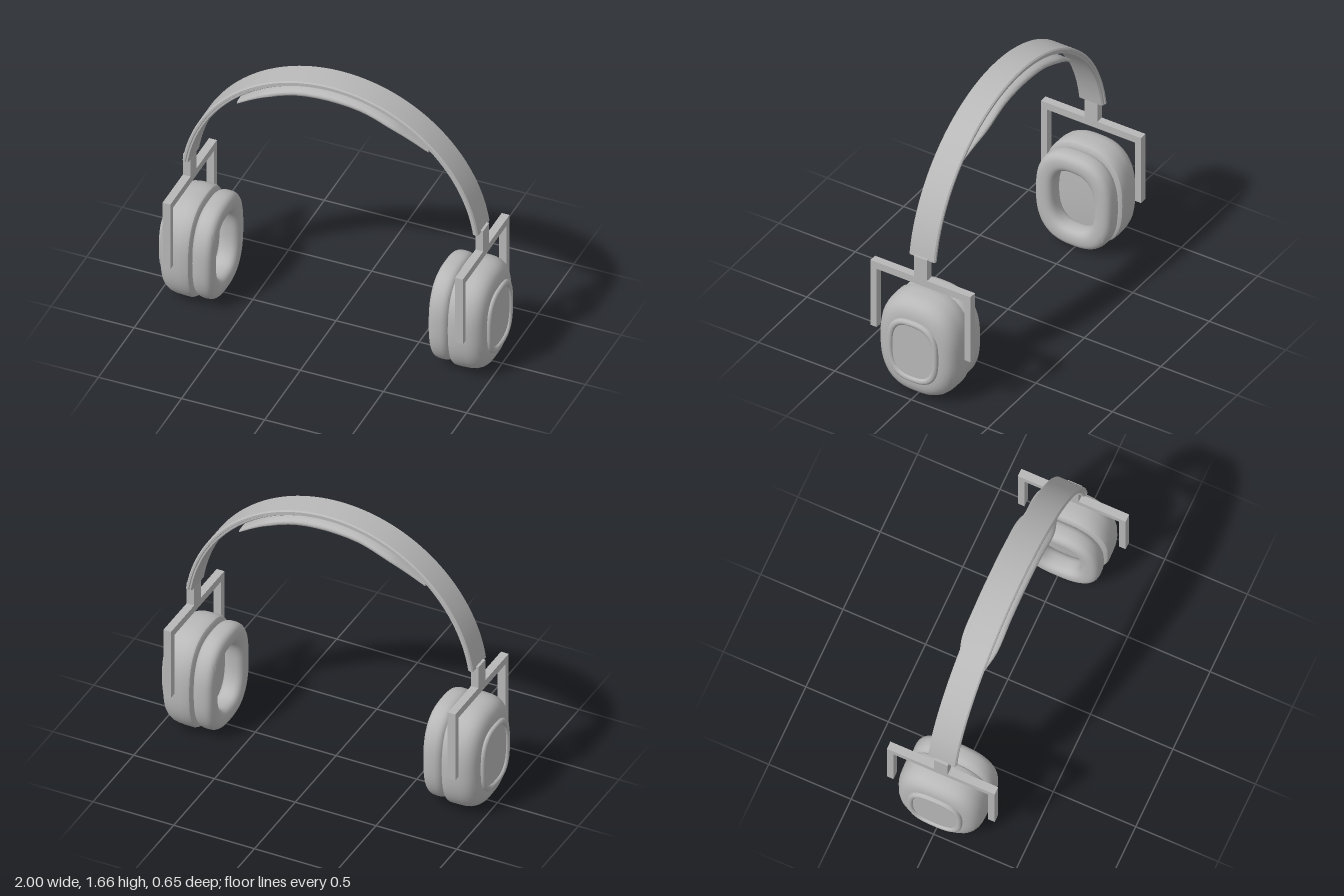
import * as THREE from 'three';
import { toCreasedNormals } from 'three/addons/utils/BufferGeometryUtils.js';

const grey = new THREE.MeshStandardMaterial({ color: 0xb8b8b8 });
grey.name = 'grey';

const CUP_Y = 0.32;

// Skin a list of equal-length closed rings of points
function skin(rings, crease = 0.6) {
  const n = rings[0].length;
  const index = [];
  for (let i = 0; i < rings.length - 1; i++) {
    for (let j = 0; j < n; j++) {
      const k = (j + 1) % n;
      const a = i * n + j, b = (i + 1) * n + j, c = i * n + k, d = (i + 1) * n + k;
      index.push(a, b, c, c, b, d);
    }
  }
  const geo = new THREE.BufferGeometry().setFromPoints(rings.flat());
  geo.setIndex(index);
  return toCreasedNormals(geo, crease);
}

// Close both ends of a list of rings at their centres
function capped(rings) {
  const cap = (ring) => {
    const c = new THREE.Vector3();
    ring.forEach((p) => c.add(p));
    c.divideScalar(ring.length);
    return ring.map(() => c.clone());
  };
  return [cap(rings[0]), ...rings, cap(rings[rings.length - 1])];
}

const power = (v, n) => Math.sign(v) * Math.pow(Math.abs(v), 2 / n);

// Rounded-oval ring facing x, with half sizes a (z) and b (y)
function ovalRing(x, a, b, n = 2.6, segments = 72) {
  return Array.from({ length: segments }, (_, j) => {
    const t = (j / segments) * Math.PI * 2;
    return new THREE.Vector3(x, CUP_Y + b * power(Math.sin(t), n), a * power(Math.cos(t), n));
  });
}

// Oval body from a profile of [x, inset]
function ovalBody(profile, a, b, n, solid = true) {
  const rings = profile.map(([x, inset]) => ovalRing(x, a - inset, b - inset, n));
  return skin(solid ? capped(rings) : rings);
}

function part(name, geometry) {
  const mesh = new THREE.Mesh(geometry, grey);
  mesh.name = name;
  return mesh;
}

function box(name, w, h, d, x, y, z) {
  const mesh = part(name, new THREE.BoxGeometry(w, h, d));
  mesh.position.set(x, y, z);
  return mesh;
}

function headband() {
  const section = [
    [0.893, -0.085], [0.9, -0.077], [0.9, 0.077], [0.893, 0.085], [0.882, 0.085], [0.879, 0.079],
    [0.869, 0.079], [0.863, 0.07], [0.863, -0.07], [0.869, -0.079], [0.879, -0.079], [0.882, -0.085],
  ];
  const rings = [];
  const start = 0.15, steps = 80;
  for (let i = 0; i <= steps; i++) {
    const t = start + (i / steps) * (Math.PI - 2 * start);
    rings.push(section.map(([r, z]) => new THREE.Vector3(r * Math.cos(t), 0.765 + r * Math.sin(t), z)));
  }
  return part('headband', skin(capped(rings), 0.4));
}

function headPad() {
  // x, middle height, half thickness, half width
  const half = [
    [0.575, 1.364, 0.012, 0.05], [0.47, 1.447, 0.021, 0.083], [0.38, 1.508, 0.027, 0.108],
    [0.2, 1.576, 0.03, 0.11],
  ];
  const stations = [...half, [0, 1.596, 0.03, 0.11], ...half.map(([x, ...r]) => [-x, ...r]).reverse()];
  const path = new THREE.CatmullRomCurve3(stations.map(([x, y]) => new THREE.Vector3(x, y, 0)));
  const size = new THREE.CatmullRomCurve3(stations.map(([x, , h, w]) => new THREE.Vector3(x, h, w)));
  const rings = [];
  for (let i = 0; i <= 64; i++) {
    const p = path.getPoint(i / 64), s = size.getPoint(i / 64);
    rings.push(Array.from({ length: 28 }, (_, j) => {
      const t = (j / 28) * Math.PI * 2;
      return new THREE.Vector3(p.x, p.y + s.y * power(Math.sin(t), 2.6), -s.z * power(Math.cos(t), 2.6));
    }));
  }
  return part('headPad', skin(capped(rings)));
}

function earpiece(name) {
  const group = new THREE.Group();
  group.name = name;

  // Stem and forked yoke
  group.add(box('stem', 0.047, 0.145, 0.084, 0.88, 0.8375, 0));
  group.add(box('yokeBar', 0.047, 0.046, 0.654, 0.88, 0.747, 0));
  for (const side of [-1, 1]) {
    group.add(box('yokeArm', 0.047, 0.4, 0.04, 0.88, 0.525, side * 0.307));
  }

  // Cup shell, rounded more on its outer side
  group.add(part('cupShell', ovalBody([
    [0.772, 0.035], [0.775, 0.018], [0.782, 0.006], [0.795, 0], [0.84, 0], [0.885, 0.002], [0.915, 0.008],
    [0.94, 0.02], [0.958, 0.036], [0.97, 0.056], [0.977, 0.078], [0.98, 0.1],
  ], 0.258, 0.32, 2.6)));

  // Outer plate with a raised rim and recessed centre
  group.add(part('outerPlate', ovalBody([
    [0.97, 0], [0.988, 0], [0.994, 0.003], [0.998, 0.008], [1, 0.014], [1, 0.022], [0.997, 0.029],
    [0.992, 0.033], [0.987, 0.034],
  ], 0.165, 0.205, 2.8)));

  // Ear cushion: a rounded tube around the opening
  const cushion = [];
  for (let i = 0; i <= 28; i++) {
    const t = (i / 28) * Math.PI * 2;
    cushion.push([0.711 - 0.063 * power(Math.cos(t), 2.8), 0.058 - 0.058 * power(Math.sin(t), 2.5)]);
  }
  group.add(part('earCushion', ovalBody(cushion, 0.25, 0.306, 2.6, false)));
  return group;
}

export function createModel() {
  const model = new THREE.Group();
  model.name = 'headphones';
  model.add(headband(), headPad());
  const left = earpiece('leftEarpiece');
  const right = earpiece('rightEarpiece');
  right.rotation.y = Math.PI;
  model.add(left, right);
  return model;
}
